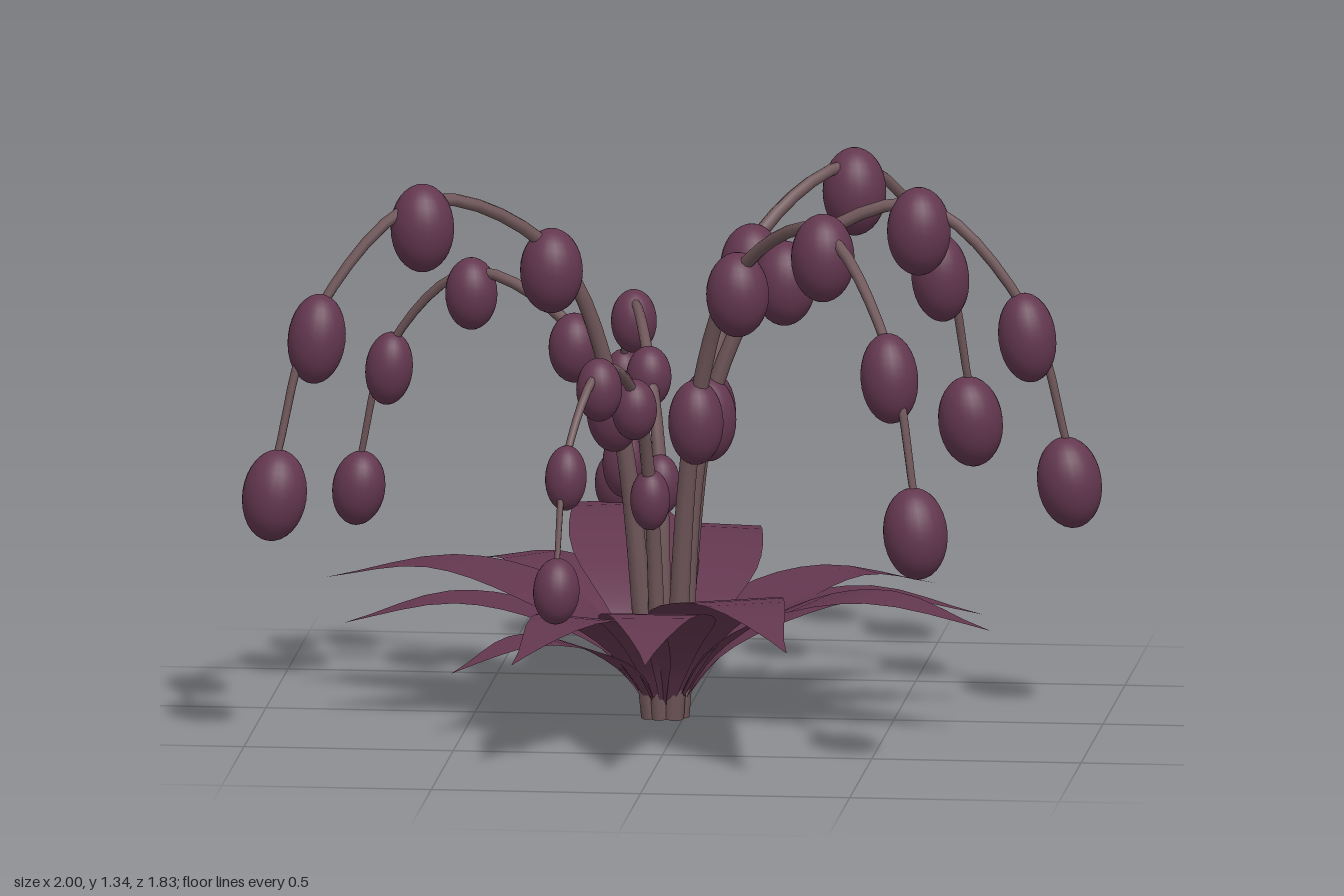
import * as THREE from 'three';

const plum = new THREE.MeshStandardMaterial({ color: 0x63374f, side: THREE.DoubleSide });
plum.name = 'plum';
const stalk = new THREE.MeshStandardMaterial({ color: 0x6f5659 });
stalk.name = 'stalk brown';

const CX = -0.045, CZ = 0.02; // root of the plant

// Each stem: bead size and bead centres [x, y, z] from root to tip
const STEMS = [
  [1, [[0.06, 0.72, 0.02], [0.24, 1.05, 0.01], [0.56, 1.18, 0], [0.82, 0.93, 0.01], [0.92, 0.58, 0]]],
  [1, [[0.04, 0.73, 0.12], [0.15, 1.06, 0.22], [0.38, 1.2, 0.47], [0.56, 0.95, 0.67], [0.63, 0.59, 0.745]]],
  [1, [[0.05, 0.72, -0.07], [0.14, 1.05, -0.2], [0.36, 1.19, -0.44], [0.545, 0.95, -0.63], [0.61, 0.59, -0.7]]],
  [1, [[-0.16, 0.75, 0.08], [-0.3, 1.1, 0.17], [-0.59, 1.23, 0.345], [-0.83, 0.98, 0.465], [-0.925, 0.61, 0.52]]],
  [0.82, [[-0.145, 0.6, -0.03], [-0.27, 0.87, -0.065], [-0.525, 0.98, -0.15], [-0.73, 0.78, -0.23], [-0.805, 0.485, -0.255]]],
  [0.72, [[-0.065, 0.54, -0.075], [-0.105, 0.78, -0.19], [-0.165, 0.87, -0.42], [-0.21, 0.69, -0.605], [-0.23, 0.43, -0.68]]],
  [0.72, [[-0.07, 0.54, 0.115], [-0.095, 0.78, 0.235], [-0.155, 0.87, 0.465], [-0.215, 0.69, 0.65], [-0.23, 0.43, 0.725]]],
];

// Leaf tips [x, z]
const LEAVES = [
  [-0.33, -0.92], [0.08, -0.86], [0.22, -0.54], [0.55, -0.48], [0.7, -0.13], [0.76, 0.27], [0.34, 0.91],
  [0, 0.9], [-0.33, 0.8], [-0.52, 0.37], [-0.8, 0.15], [-0.88, -0.2], [-0.59, -0.57],
];

// Tube whose rings shrink from r0 to r1
function taperedTube(curve, r0, r1, segs = 36, sides = 8) {
  const geo = new THREE.TubeGeometry(curve, segs, 1, sides, false);
  const pos = geo.attributes.position, v = new THREE.Vector3();
  for (let i = 0; i <= segs; i++) {
    const c = curve.getPointAt(i / segs), r = THREE.MathUtils.lerp(r0, r1, i / segs);
    for (let j = 0; j <= sides; j++) {
      const k = i * (sides + 1) + j;
      v.fromBufferAttribute(pos, k).sub(c).multiplyScalar(r).add(c);
      pos.setXYZ(k, v.x, v.y, v.z);
    }
  }
  return geo;
}

function makeStem([size, beads]) {
  const group = new THREE.Group();
  group.name = 'floweringStem';
  const tip = beads[4];
  const dir = new THREE.Vector2(tip[0] - CX, tip[2] - CZ).normalize();

  // Arching stem passes just above the bead centres
  const lift = [0.03, 0.05, 0.065, 0.06, 0.07];
  const path = beads.map(([x, y, z], i) => new THREE.Vector3(x, y + lift[i] * size, z));
  path.unshift(new THREE.Vector3(CX + dir.x * 0.033, 0, CZ + dir.y * 0.033));
  const stem = new THREE.Mesh(
    taperedTube(new THREE.CatmullRomCurve3(path), 0.026 * (0.4 + 0.6 * size), 0.009 * size), stalk);
  stem.name = 'stem';
  group.add(stem);

  // Hanging buds, the outer ones swinging slightly outward
  const radii = [[0.066, 0.102], [0.075, 0.102], [0.076, 0.106], [0.069, 0.108], [0.077, 0.11]];
  const tilt = [0, 0, 0, 0.12, 0.15];
  beads.forEach(([x, y, z], i) => {
    const bud = new THREE.Mesh(budGeometry, plum);
    bud.name = 'bud';
    bud.position.set(x, y, z);
    bud.scale.set(radii[i][0] * size, radii[i][1] * size, radii[i][0] * size);
    bud.quaternion.setFromAxisAngle(new THREE.Vector3(-dir.y, 0, dir.x), tilt[i]);
    group.add(bud);
  });
  return group;
}

const budGeometry = new THREE.SphereGeometry(1, 24, 16);

// Pointed leaf rising like a funnel, then arching over
function makeLeaf([tx, tz]) {
  const dx = tx - CX, dz = tz - CZ, L = Math.hypot(dx, dz);
  const peak = 0.39 * Math.pow(L / 0.98, 1.15);
  const profile = new THREE.CatmullRomCurve3([
    [0.025, 0.01], [0.16 * L, 0.52 * peak], [0.38 * L, 0.86 * peak], [0.66 * L, peak], [L, peak - 0.06],
  ].map(([r, y]) => new THREE.Vector3(r, y, 0)));
  const width = new THREE.SplineCurve([
    [0, 0.02], [0.25, 0.09], [0.5, 0.15], [0.75, 0.098], [1, 0],
  ].map(([t, w]) => new THREE.Vector2(t, w * (0.3 + 0.72 * L))));

  const N = 16, pos = [], index = [];
  for (let i = 0; i <= N; i++) {
    const p = profile.getPoint(i / N), w = i === N ? 0 : width.getPoint(i / N).y;
    for (const s of [-1, 0, 1]) {
      pos.push(CX + (dx * p.x - dz * w * s) / L, p.y, CZ + (dz * p.x + dx * w * s) / L);
    }
    if (i < N) {
      for (let j = 0; j < 2; j++) {
        const a = i * 3 + j, b = a + 3;
        index.push(a, a + 1, b, b, a + 1, b + 1);
      }
    }
  }
  const geo = new THREE.BufferGeometry();
  geo.setAttribute('position', new THREE.Float32BufferAttribute(pos, 3));
  geo.setIndex(index);
  geo.computeVertexNormals();
  const leaf = new THREE.Mesh(geo, plum);
  leaf.name = 'leaf';
  return leaf;
}

export function createModel() {
  const model = new THREE.Group();
  model.name = 'droopingPlant';
  const rosette = new THREE.Group();
  rosette.name = 'leafRosette';
  LEAVES.forEach((tip) => rosette.add(makeLeaf(tip)));
  model.add(rosette);
  STEMS.forEach((s) => model.add(makeStem(s)));
  return model;
}
